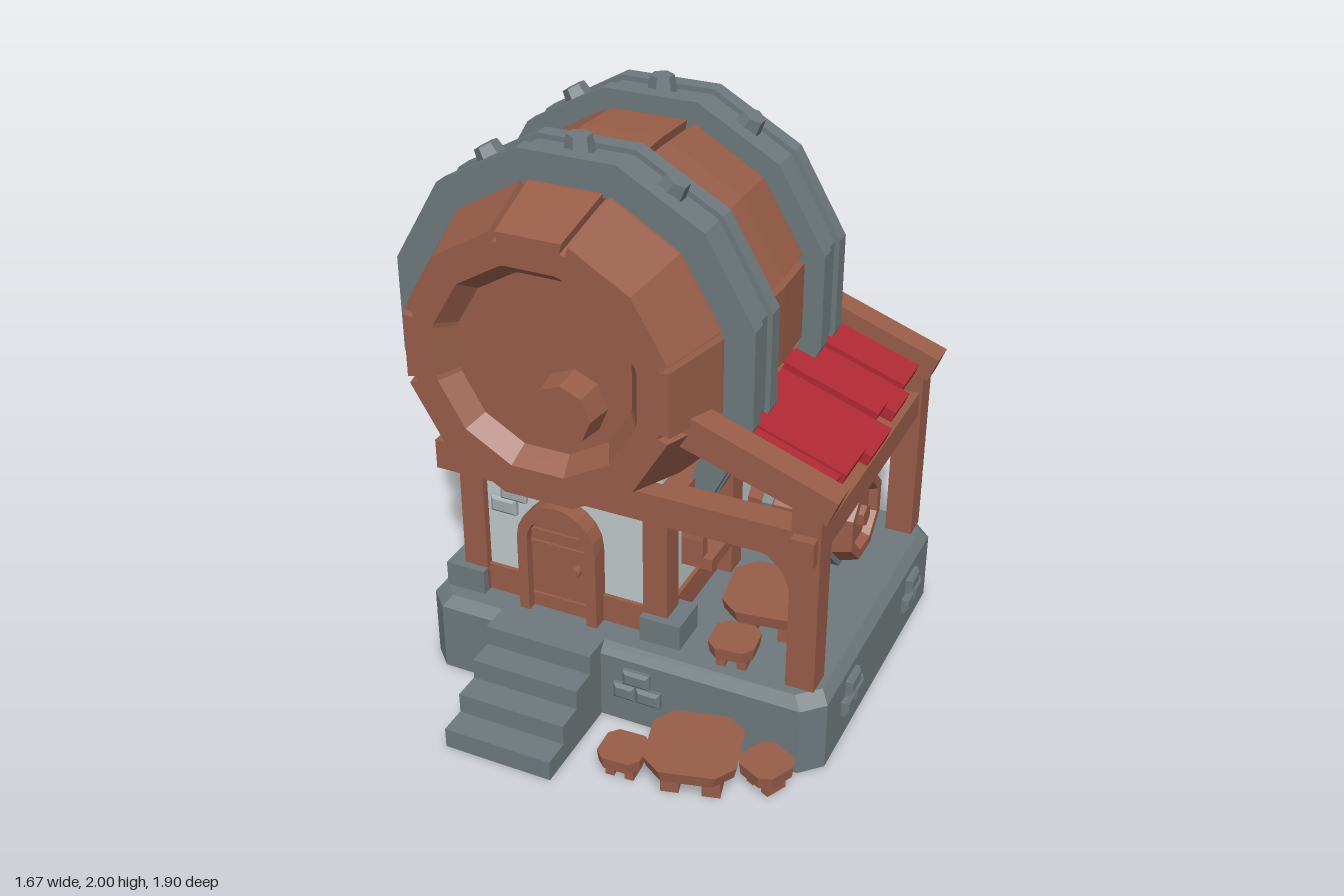
import * as THREE from 'three';

const paint = (name, color) => Object.assign(new THREE.MeshStandardMaterial({ color }), { name });
const CX = -0.19, CY = 1.315; // axis of the great barrel

// Skin a stack of equal-length counter-clockwise loops running along +z, with end caps
function loft(sections) {
  const n = sections[0].length, pos = [], idx = [];
  sections.forEach(s => s.forEach(p => pos.push(...p)));
  for (let i = 0; i < sections.length - 1; i++) for (let j = 0; j < n; j++) {
    const a = i * n + j, b = i * n + (j + 1) % n;
    idx.push(a, b, b + n, a, b + n, a + n);
  }
  const last = (sections.length - 1) * n;
  for (let j = 1; j < n - 1; j++) idx.push(0, j + 1, j, last, last + j, last + j + 1);
  const g = new THREE.BufferGeometry();
  g.setAttribute('position', new THREE.Float32BufferAttribute(pos, 3));
  g.setIndex(idx);
  return g;
}
// Rectangle with cut corners
const cutRect = (hx, hy, c, z) => [[hx, c - hy], [hx, hy - c], [hx - c, hy], [c - hx, hy],
  [-hx, hy - c], [-hx, c - hy], [c - hx, -hy], [hx - c, -hy]].map(p => [...p, z]);
const shape = pts => new THREE.Shape(pts.map(p => new THREE.Vector2(...p)));
const prism = (s, z0, z1) => new THREE.ExtrudeGeometry(Array.isArray(s) ? shape(s) : s,
  { depth: z1 - z0, bevelEnabled: false, curveSegments: 5 }).translate(0, 0, z0);
// Round-topped outline standing on y = 0
function arch(w, h, Type = THREE.Shape) {
  const s = new Type();
  s.moveTo(-w, 0).lineTo(w, 0).lineTo(w, h - w).absarc(0, h - w, w, 0, Math.PI, false).lineTo(-w, 0);
  return s;
}

export function createModel() {
  const wood = paint('wood', 0x985d49), stone = paint('stone', 0x6e797d), plaster = paint('plaster', 0xc0c8ca),
    brickGrey = paint('paleBrick', 0xa2aaac), red = paint('redPlank', 0xb02a34);
  const root = new THREE.Group();
  root.name = 'barrelHouse';

  function add(name, geo, mat, x = 0, y = 0, z = 0, parent = root) {
    const g = geo.index ? geo.toNonIndexed() : geo;
    g.computeVertexNormals();
    const m = new THREE.Mesh(g, mat);
    m.name = name;
    m.position.set(x, y, z);
    parent.add(m);
    return m;
  }
  // Box given by its limits
  const box = (name, mat, x0, x1, y0, y1, z0, z1, parent = root) => add(name, new THREE.BoxGeometry(x1 - x0, y1 - y0, z1 - z0),
    mat, (x0 + x1) / 2, (y0 + y1) / 2, (z0 + z1) / 2, parent);
  const group = (name, x, y, z, ry = 0) => {
    const g = new THREE.Group();
    g.name = name;
    g.position.set(x, y, z);
    g.rotation.y = ry;
    root.add(g);
    return g;
  };

  // Stone platform and front steps
  add('platform', loft([cutRect(0.75, 0.61, 0.07, 0), cutRect(0.75, 0.61, 0.07, 0.26), cutRect(0.72, 0.58, 0.07, 0.3)])
    .rotateX(-Math.PI / 2), stone, 0.06, 0, -0.04);
  for (let i = 0; i < 4; i++) box('step', stone, -0.39, 0.01, 0, 0.3 - i * 0.075, 0.5, 0.65 + i * 0.1);

  // Raised bricks on the platform sides
  function brick(parent, mat, x, y, w = 0.1, h = 0.06) {
    add('brick', loft([cutRect(w / 2, h / 2, 0.001, -0.02), cutRect(w / 2, h / 2, 0.001, 0.014),
      cutRect(w / 2 - 0.012, h / 2 - 0.012, 0.001, 0.024)]), mat, x, y, 0, parent);
  }
  [[0.15, 0.57, 0], [0.47, -0.65, Math.PI], [0.81, 0.27, Math.PI / 2], [0.81, -0.37, Math.PI / 2],
    [-0.69, 0.27, -Math.PI / 2], [-0.69, -0.37, -Math.PI / 2]].forEach(([x, z, r]) => {
    const g = group('platformBricks', x, 0, z, r);
    brick(g, stone, 0, 0.2);
    brick(g, stone, -0.045, 0.135, 0.08);
    brick(g, stone, 0.045, 0.135, 0.09);
  });

  // Plastered room with timber posts, skirting and corner stones
  box('walls', plaster, -0.55, 0.18, 0.3, 0.95, -0.53, 0.43);
  box('skirting', wood, -0.565, 0.195, 0.3, 0.405, -0.545, 0.445);
  for (const x of [-0.535, 0.165]) for (const z of [-0.515, 0.415]) {
    box('cornerPost', wood, x - 0.045, x + 0.045, 0.3, 0.82, z - 0.045, z + 0.045);
    const s = x < 0 ? -0.03 : 0.03;
    box('cornerStone', stone, x + s - 0.075, x + s + 0.075, 0.3, 0.395, z - 0.075, z + 0.075);
  }
  for (const x of [-0.57, 0.2]) {
    box('middlePost', wood, x - 0.05, x + 0.05, 0.3, 0.82, -0.09, 0);
    box('sideBeam', wood, x - 0.06, x + 0.06, 0.8, 0.91, -0.55, 0.45);
  }
  [[-0.4, 0.43, 0], [-0.1, -0.53, Math.PI], [-0.42, -0.53, Math.PI], [-0.55, 0.18, -Math.PI / 2]].forEach(([x, z, r]) => {
    const g = group('wallBricks', x, 0, z, r);
    brick(g, brickGrey, 0.02, 0.73, 0.1, 0.065);
    brick(g, brickGrey, -0.02, 0.67, 0.1, 0.065);
  });

  // Arched door
  const door = group('door', -0.19, 0.3, 0.43);
  const frame = arch(0.15, 0.45);
  frame.holes.push(arch(0.112, 0.405, THREE.Path));
  add('doorFrame', prism(frame, 0, 0.07), wood, 0, 0, 0, door);
  add('doorLeaf', prism(arch(0.115, 0.41), 0, 0.035), wood, 0, 0, 0, door);
  for (const y of [0.05, 0.27, 0.32]) box('doorBar', wood, -0.11, 0.11, y, y + 0.012, 0.035, 0.045, door);
  add('doorKnob', new THREE.CylinderGeometry(0.018, 0.018, 0.03, 8).rotateX(Math.PI / 2), wood, 0.065, 0.2, 0.05, door);

  // Arched windows on both sides
  [[0.18, 0.18, Math.PI / 2], [-0.55, -0.25, -Math.PI / 2]].forEach(([x, z, r]) => {
    const w = group('window', x, 0.5, z, r);
    const f = arch(0.1, 0.21);
    f.holes.push(arch(0.06, 0.165, THREE.Path).translate ? null : arch(0.06, 0.165, THREE.Path));
    f.holes = f.holes.filter(Boolean);
    add('windowFrame', prism(f, 0, 0.08), wood, 0, 0, 0, w);
    add('windowPane', prism(arch(0.065, 0.17), 0, 0.03), stone, 0, 0, 0, w);
    box('windowSill', wood, -0.1, 0.1, 0, 0.045, 0, 0.115, w);
  });

  // Front and back timber frames carrying the awning
  for (const [z0, z1] of [[0.405, 0.505], [-0.605, -0.51]]) {
    box('crossBeam', wood, -0.64, 0.76, 0.8, 0.91, z0, z1);
    box('awningPost', wood, 0.66, 0.76, 0.3, 1.04, z0, z1);
    add('awningRafter', prism([[0.24, 1.13], [0.775, 0.96], [0.81, 1.05], [0.24, 1.255]], z0, z1), wood);
    add('curvedBrace', prism([[0.67, 0.6], [0.67, 0.81], [0.5, 0.81], [0.58, 0.785], [0.63, 0.74], [0.655, 0.68]], z0 + 0.01, z1 - 0.01), wood);
  }
  box('awningBeam', wood, 0.67, 0.75, 0.81, 0.905, -0.6, 0.54);

  // Red awning planks of uneven length and height
  [[-0.51, -0.35, 0.74, 0], [-0.35, -0.2, 0.76, -0.02], [-0.2, -0.1, 0.73, 0.01], [-0.1, 0.1, 0.78, -0.015],
    [0.1, 0.29, 0.76, 0.01], [0.29, 0.41, 0.74, 0]].forEach(([z0, z1, x, dy]) => {
    const y = 1.165 - (x - 0.3) * 0.34 + dy;
    add('awningPlank', prism([[0.3, 1.125 + dy], [x - 0.015, y - 0.04], [x, y], [0.3, 1.17 + dy]], z0, z1), red);
  });

  // Great barrel: twelve staves, grooves beside the wide ones, recessed ends
  const grooves = [15, 75, 105, 165, 195, 345];
  const ring = (apothem, z, depth) => {
    const R = apothem / Math.cos(Math.PI / 12), loop = [];
    for (let a = 15; a < 375; a += 30) {
      const cuts = grooves.includes(a) ? [[-1.4, 0], [-1.2, depth], [1.2, depth], [1.4, 0]] : [[0, 0]];
      cuts.forEach(([d, k]) => {
        const t = THREE.MathUtils.degToRad(a + d);
        loop.push([Math.cos(t) * (R - k), Math.sin(t) * (R - k), z]);
      });
    }
    return loop;
  };
  add('greatBarrel', loft([[0.31, -0.62, 0], [0.36, -0.7, 0], [0.47, -0.7, 0.035], [0.54, -0.46, 0.035], [0.575, -0.25, 0.035],
    [0.585, -0.05, 0.035], [0.575, 0.15, 0.035], [0.54, 0.36, 0.035], [0.47, 0.6, 0.035], [0.36, 0.6, 0], [0.31, 0.53, 0]]
    .map(p => ring(...p))), wood, CX, CY, 0);
  add('barrelBung', new THREE.CylinderGeometry(0.105, 0.12, 0.12, 8).rotateX(Math.PI / 2), wood, -0.08, 1.21, 0.57);

  // Open iron hoops with a sunken centre and hexagonal bolts
  const half = [[0.175, 0.645], [0.475, 0.475], [0.65, 0.175], [0.65, -0.175], [0.47, -0.545]];
  const arc = [...half.map(([x, y]) => [-x, y]).reverse(), ...half];
  const hoopShape = k => {
    const s = f => arc.map(([x, y]) => [x * f, y === -0.545 ? y : y * f]);
    return [...s(k), ...s(0.82).reverse()];
  };
  for (const z of [0.25, -0.355]) {
    for (const [a, b, k] of [[-0.1, -0.04, 1], [-0.04, 0.04, 0.972], [0.04, 0.1, 1]])
      add('hoop', prism(hoopShape(k), z + a, z + b), stone, CX, CY, 0);
    for (const deg of [60, 90, 120]) {
      const t = THREE.MathUtils.degToRad(deg);
      const bolt = add('hoopBolt', new THREE.CylinderGeometry(0.042, 0.055, 0.07, 6), stone,
        CX + Math.cos(t) * 0.65, CY + Math.sin(t) * 0.65, z);
      bolt.rotation.z = t - Math.PI / 2;
    }
  }

  // Small eight-sided casks with recessed ends, lying along local z
  function cask(x, y, z, r, len, ry = 0) {
    const g = group('cask', x, y, z, ry), h = len / 2;
    const turn = (name, pts, mat) => add(name, new THREE.LatheGeometry(pts.map(p => new THREE.Vector2(...p)), 8)
      .rotateY(Math.PI / 8).rotateX(Math.PI / 2), mat, 0, 0, 0, g);
    turn('caskBody', [[0, 0.03 - h], [r * 0.55, 0.03 - h], [r * 0.62, -h], [r * 0.8, -h], [r * 0.96, -h * 0.45], [r * 0.96, h * 0.45],
      [r * 0.8, h], [r * 0.62, h], [r * 0.55, h - 0.03], [0, h - 0.03]], wood);
    for (const s of [-1, 1]) {
      const c = s * h * 0.56;
      turn('caskHoop', [[r * 0.8, c - 0.02], [r, c - 0.02], [r, c + 0.02], [r * 0.8, c + 0.02]], stone);
      add('caskBung', new THREE.CylinderGeometry(r * 0.2, r * 0.2, 0.04, 6).rotateX(Math.PI / 2), wood, 0, 0, s * (h - 0.02), g);
    }
  }
  cask(0.46, 0.5, -0.27, 0.205, 0.4, Math.PI / 2);
  cask(-0.345, 0.135, -0.795, 0.138, 0.31);
  cask(-0.065, 0.135, -0.795, 0.138, 0.31);
  cask(-0.205, 0.39, -0.795, 0.138, 0.31);

  // Tables and stools
  function table(name, x, y, z, r, h, ry) {
    const g = group(name, x, y, z, ry), t = 0.045;
    add('top', loft([cutRect(r * 0.94, r * 0.94, r * 0.4, h - t), cutRect(r, r, r * 0.4, h)]).rotateX(-Math.PI / 2), wood, 0, 0, 0, g);
    for (const s of [-1, 1]) box('leg', wood, s * r * 0.45 - r * 0.2, s * r * 0.45 + r * 0.2, 0, h - t, -r * 0.5, r * 0.5, g);
  }
  table('yardTable', 0.44, 0, 0.74, 0.155, 0.15, 0.25);
  table('yardStool', 0.21, 0, 0.8, 0.077, 0.1, 0.05);
  table('yardStool', 0.665, 0, 0.66, 0.08, 0.1, -0.45);
  table('porchTable', 0.5, 0.3, 0.23, 0.155, 0.15, 0.15);
  table('porchStool', 0.46, 0.3, 0.46, 0.08, 0.1, 0.1);
  table('porchStool', 0.52, 0.3, 0.02, 0.08, 0.1, -0.3);

  // Stacked sacks by the back post
  [[0.46, 0.34, 0.3], [0.47, 0.41, -0.2]].forEach(([x, y, r]) => {
    const sack = add('sack', new THREE.SphereGeometry(1, 8, 5), wood, x, y, -0.49);
    sack.scale.set(0.11, 0.045, 0.07);
    sack.rotation.y = r;
  });
  return root;
}
